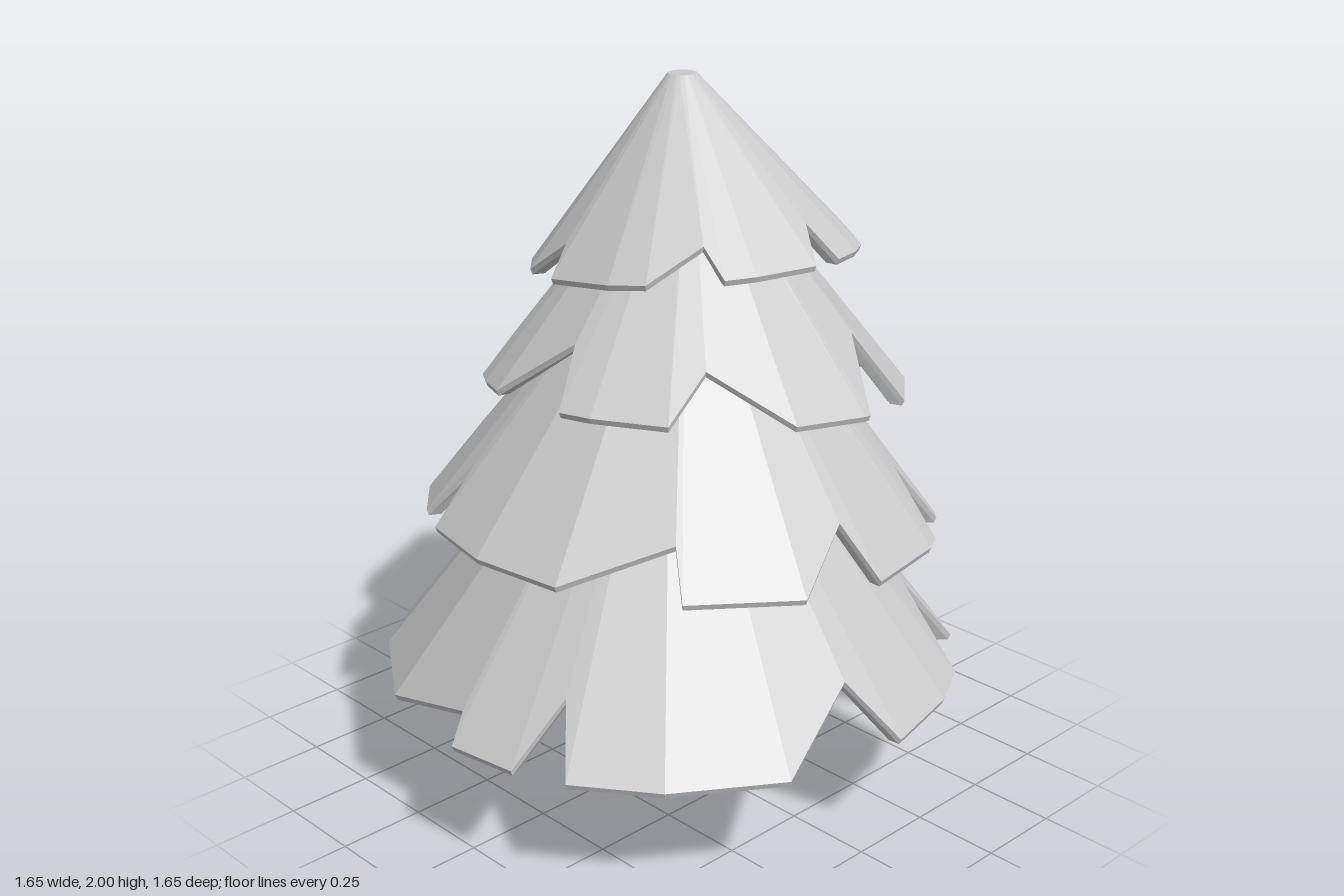
import * as THREE from 'three';

const material = new THREE.MeshStandardMaterial({ color: 0xcccccc, flatShading: true });
const RAD = Math.PI / 180;
const SIDES = 16;

// Closed flat-faced skin over a stack of rings, each ring running from +x towards +z.
function skinRings(rings) {
  const pos = [];
  const tri = (...pts) => pts.forEach((p) => pos.push(...p));
  const centre = (ring) => [0, 1, 2].map((k) => ring.reduce((s, p) => s + p[k], 0) / ring.length);
  const first = rings[0];
  const last = rings[rings.length - 1];
  const top = centre(first);
  const end = centre(last);
  first.forEach((_, i) => {
    const j = (i + 1) % first.length;
    tri(top, first[j], first[i]);
    for (let k = 0; k < rings.length - 1; k++) {
      const a = rings[k], b = rings[k + 1];
      tri(a[i], a[j], b[i]);
      tri(a[j], b[j], b[i]);
    }
    tri(end, last[i], last[j]);
  });
  const g = new THREE.BufferGeometry();
  g.setAttribute('position', new THREE.Float32BufferAttribute(pos, 3));
  g.computeVertexNormals();
  return g;
}

// Hollow leaning cone whose rim is a many-sided circle (centre cx, cz) with notches cut in it.
// A notch is [start, deepest, end] in degrees, then the share of the radius left at its deepest.
function boughTier({ apex: [ax, ay, az], slope, tilt = [0, 0], circle: [cx, cz, radius], notches }) {
  // Distance from the apex axis to the rim circle in one direction
  const reach = (deg) => {
    const c = Math.cos(deg * RAD), s = Math.sin(deg * RAD);
    const along = (cx - ax) * c + (cz - az) * s;
    const across = (cx - ax) * s - (cz - az) * c;
    return along + Math.sqrt(radius * radius - across * across);
  };
  const rim = [];
  for (let i = 0; i < SIDES; i++) {
    const deg = (i * 360) / SIDES;
    if (notches.every(([start, , end]) => deg < start - 3 || deg > end + 3)) rim.push([deg, reach(deg)]);
  }
  for (const [start, deepest, end, share] of notches) {
    rim.push([start, reach(start)], [deepest, reach(deepest) * share], [end, reach(end)]);
  }
  rim.sort((a, b) => a[0] - b[0]);

  const lip = (inset, drop) => rim.map(([deg, r]) => {
    const c = Math.cos(deg * RAD), s = Math.sin(deg * RAD);
    const y = ay - r * (slope - tilt[0] * c - tilt[1] * s);
    return [ax + (r - inset) * c, y - drop, az + (r - inset) * s];
  });
  const level = (r, y) => rim.map(([deg]) => [ax + r * Math.cos(deg * RAD), y, az + r * Math.sin(deg * RAD)]);
  return skinRings([
    level(0.04, ay - slope * 0.04), // blunt tip
    lip(0, 0), // outer edge
    lip(0.006, 0.016), // bevel
    lip(0.04, 0.016), // underside
    lip(0.05, 0.006), // inner edge
    level(0.03, ay - slope * 0.03 - 0.07), // hollow inside
  ]);
}

const tiers = {
  topBoughs: {
    apex: [-0.08, 2.048, -0.12], slope: 1.2, tilt: [0.28, 0.05], circle: [-0.02, -0.11, 0.455],
    notches: [
      [-9, -6, 2, 0.82], [32, 37, 55, 0.85], [93, 97, 115, 0.85],
      [190, 196, 204, 0.73], [245, 247, 270, 0.68], [309, 312, 326, 0.87],
    ],
  },
  upperBoughs: {
    apex: [-0.05, 1.9, -0.12], slope: 1.25, tilt: [0.18, 0.17], circle: [0.01, -0.09, 0.595],
    notches: [
      [20, 40, 49, 0.83], [76, 81, 102, 0.79], [120, 122, 146, 0.84],
      [188, 195, 204, 0.8], [292, 299, 313, 0.8], [339, 341, 358, 0.76],
    ],
  },
  middleBoughs: {
    apex: [-0.03, 1.72, -0.08], slope: 1.29, tilt: [0.05, 0.13], circle: [0, -0.045, 0.725],
    notches: [
      [1, 5, 20, 0.85], [44.5, 46, 69.5, 0.87], [109, 112, 119, 0.82], [134, 139, 150, 0.82],
      [201, 205, 213, 0.7], [253, 260, 276.5, 0.78], [319, 324, 332, 0.82],
    ],
  },
  bottomBoughs: {
    apex: [0, 1.43, 0], slope: 1.3, circle: [0, 0, 0.825],
    notches: [
      [-4, 3, 22, 0.85], [63, 67, 74, 0.84], [88.5, 90, 112, 0.93], [154, 157, 166, 0.7],
      [203, 212, 219, 0.68], [267, 273, 279.5, 0.68], [310, 315, 326, 0.81],
    ],
  },
};

// Bent, tapering trunk: [height, radius, z offset] from the top down.
function trunkGeometry() {
  const stations = [[1.25, 0.07, -0.08], [0.75, 0.1, -0.06], [0.34, 0.125, -0.05], [0, 0.167, -0.008]];
  return skinRings(stations.map(([y, r, z]) => Array.from({ length: 12 }, (_, i) => {
    const t = (i / 12) * Math.PI * 2;
    return [r * Math.cos(t), y, z + r * Math.sin(t)];
  })));
}

export function createModel() {
  const tree = new THREE.Group();
  tree.name = 'tree';
  const add = (name, geometry) => {
    const mesh = new THREE.Mesh(geometry, material);
    mesh.name = name;
    tree.add(mesh);
  };
  for (const [name, tier] of Object.entries(tiers)) add(name, boughTier(tier));
  add('trunk', trunkGeometry());
  return tree;
}
